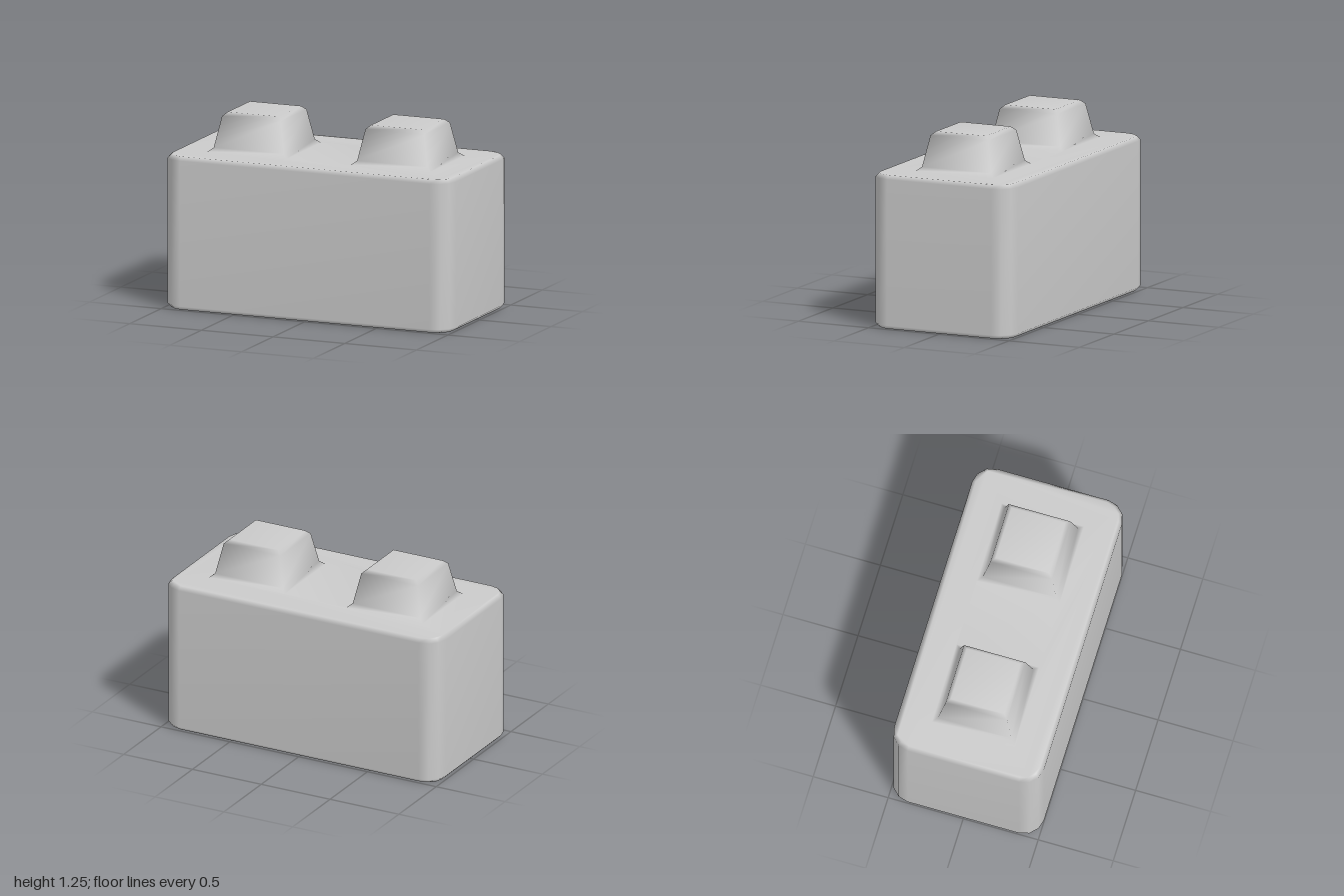
import * as THREE from 'three';
import { mergeVertices } from 'three/addons/utils/BufferGeometryUtils.js';

// Stud and socket share one profile: [half width, height]
const PROFILE = [[0.275, 0], [0.245, 0.025], [0.205, 0.225], [0.178, 0.25]];
const CENTRES = [-0.5, 0.5];
const BEVEL = 0.025;
const RADIUS = 0.13;

const point = (x, y, z) => new THREE.Vector3(x, y, z);

// Rounded rectangle loop at height y, shrunk by inset
function outline(inset, y) {
  const loop = [];
  const r = RADIUS - inset;
  const corners = [[1, 1], [-1, 1], [-1, -1], [1, -1]];
  corners.forEach(([sx, sz], c) => {
    for (let i = 0; i <= 3; i++) {
      const a = (c + i / 3) * Math.PI / 2;
      loop.push(point(sx * (1 - RADIUS) + r * Math.cos(a), y, sz * (0.5 - RADIUS) + r * Math.sin(a)));
    }
  });
  return loop;
}

const square = (cx, h, y) =>
  [[1, 1], [-1, 1], [-1, -1], [1, -1]].map(([sx, sz]) => point(cx + sx * h, y, sz * h));

export function createModel() {
  const positions = [];
  const tri = (...pts) => pts.forEach((p) => positions.push(p.x, p.y, p.z));

  // Join successive loops; upward order faces out, downward order faces in
  const skin = (loops) => {
    for (let k = 0; k + 1 < loops.length; k++) {
      const a = loops[k], b = loops[k + 1];
      a.forEach((p, i) => {
        const j = (i + 1) % a.length;
        tri(p, b[i], a[j]);
        tri(a[j], b[i], b[j]);
      });
    }
  };

  // Flat face with optional holes, facing up or down
  const cap = (loop, holes, up) => {
    const flat = (l) => l.map((p) => new THREE.Vector2(p.x, p.z));
    const all = [loop, ...holes].flat();
    for (const [i, j, k] of THREE.ShapeUtils.triangulateShape(flat(loop), holes.map(flat))) {
      const [a, b, c] = [all[i], all[j], all[k]];
      const facesUp = (b.x - a.x) * (c.z - a.z) - (b.z - a.z) * (c.x - a.x) < 0;
      if (facesUp === up) tri(a, b, c);
      else tri(a, c, b);
    }
  };

  // Bevelled block walls
  const walls = [outline(BEVEL, 0), outline(0, BEVEL), outline(0, 1 - BEVEL), outline(BEVEL, 1)];
  skin(walls);

  // Studs on top, matching sockets underneath
  const studs = CENTRES.map((cx) => PROFILE.map(([h, y]) => square(cx, h, 1 + y)));
  const sockets = CENTRES.map((cx) => PROFILE.map(([h, y]) => square(cx, h, y)));
  studs.forEach((rings) => {
    skin(rings);
    cap(rings[3], [], true);
  });
  sockets.forEach((rings) => {
    skin([...rings].reverse());
    cap(rings[3], [], false);
  });

  // Top and bottom faces around them
  cap(walls[3], studs.map((r) => r[0]), true);
  cap(walls[0], sockets.map((r) => r[0]), false);

  // Shared vertices give smooth shading across the whole block
  let geometry = new THREE.BufferGeometry();
  geometry.setAttribute('position', new THREE.Float32BufferAttribute(positions, 3));
  geometry = mergeVertices(geometry, 1e-4);
  geometry.computeVertexNormals();

  const block = new THREE.Mesh(geometry, new THREE.MeshStandardMaterial({ color: 0xcccccc }));
  block.name = 'studdedBlock';
  const group = new THREE.Group();
  group.name = 'buildingBlock';
  group.add(block);
  return group;
}
